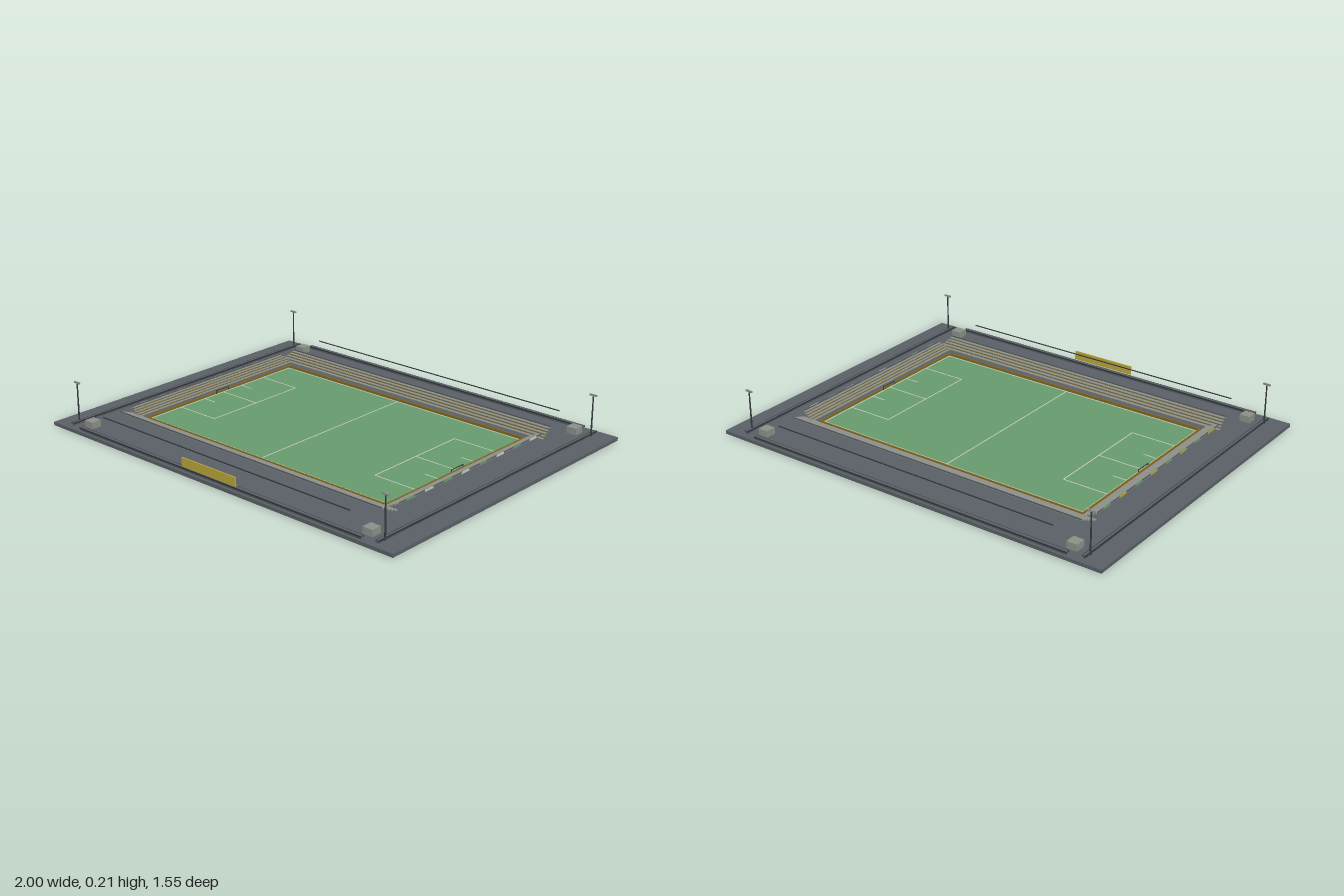
import * as THREE from 'three';

const mat = (name, color) => {
  const m = new THREE.MeshStandardMaterial({ color });
  m.name = name;
  return m;
};

export function createModel() {
  const slate = mat('slate ground', 0x5a6066);
  const dark = mat('dark steel', 0x34383c);
  const concrete = mat('pale concrete', 0x8c9088);
  const green = mat('pitch green', 0x679b6d);
  const white = mat('line white', 0xc4cabf);
  const gold = mat('sign gold', 0xb9a63a);
  const amber = mat('board amber', 0x85691f);

  const model = new THREE.Group();
  model.name = 'stadium';

  const group = (name) => {
    const g = new THREE.Group();
    g.name = name;
    model.add(g);
    return g;
  };

  // Box given by its centre in x and z, and its bottom and top heights
  const box = (parent, name, material, x, z, w, d, y0, y1) => {
    const m = new THREE.Mesh(new THREE.BoxGeometry(w, y1 - y0, d), material);
    m.name = name;
    m.position.set(x, (y0 + y1) / 2, z);
    parent.add(m);
    return m;
  };

  // Four strips around a rectangle with half sizes hx, hz
  const ring = (parent, name, material, hx, hz, t, y0, y1) => {
    for (const s of [-1, 1]) {
      box(parent, name, material, 0, s * hz, 2 * hx + t, t, y0, y1);
      box(parent, name, material, s * hx, 0, t, 2 * hz - t, y0, y1);
    }
  };

  // Ground slab and playing field
  box(model, 'groundSlab', slate, 0, 0, 2, 1.55, 0, 0.016);
  box(model, 'pitch', green, 0, 0, 1.41, 0.92, 0.016, 0.02);

  // Painted pitch lines
  const lines = group('pitchLines');
  const L = 0.005, ly0 = 0.019, ly1 = 0.021;
  ring(lines, 'touchLine', white, 0.698, 0.453, L, ly0, ly1);
  box(lines, 'halfwayLine', white, 0, 0, L, 0.9, ly0, ly1);
  for (const s of [-1, 1]) {
    box(lines, 'areaFront', white, s * 0.48, 0, L, 0.54, ly0, ly1);
    box(lines, 'areaCentre', white, s * 0.59, 0, 0.22, L, ly0, ly1);
    for (const t of [-1, 1]) {
      box(lines, 'areaSide', white, s * 0.59, t * 0.27, 0.22, L, ly0, ly1);
      box(lines, 'goalAreaSide', white, s * 0.665, t * 0.122, 0.07, L, ly0, ly1);
    }
  }

  // Low boards around the pitch
  const boards = group('perimeterBoards');
  ring(boards, 'board', amber, 0.709, 0.469, 0.006, 0.016, 0.029);

  // Small goals behind the end lines
  const goals = group('goals');
  for (const s of [-1, 1]) {
    box(goals, 'crossbar', dark, s * 0.704, 0, 0.003, 0.08, 0.034, 0.037);
    for (const t of [-1, 1]) box(goals, 'post', dark, s * 0.704, t * 0.039, 0.003, 0.003, 0.018, 0.037);
  }

  // Stepped stands, each built as thin treads and risers rising outward along +z
  const stand = (name, half, taper, inner, depth, y0, y1, rows) => {
    const g = group(name);
    const step = depth / rows, rise = (y1 - y0) / rows;
    for (let i = 0; i < rows; i++) {
      const w = 2 * (half - (taper * (i + 0.5)) / rows);
      const z = inner + i * step, y = y0 + i * rise;
      box(g, 'tread', concrete, 0, z + step / 2, w, step, y - 0.0025, y);
      if (i > 0) {
        box(g, 'riser', slate, 0, z + 0.001, w, 0.002, y - rise, y - 0.0025);
        box(g, 'seatRow', amber, 0, z - 0.0005, w, 0.001, y - rise, y - rise * 0.6);
      }
    }
    box(g, 'backRail', slate, 0, inner + depth - 0.001, w0(half, taper), 0.002, y1 - rise, y1);
    return g;
  };
  const w0 = (half, taper) => 2 * (half - taper);

  stand('frontStand', 0.792, 0.017, 0.492, 0.084, 0.036, 0.07, 5);
  stand('backStand', 0.792, 0.017, 0.492, 0.084, 0.036, 0.07, 5).rotation.y = Math.PI;
  const leftStand = stand('leftStand', 0.508, 0.02, 0.725, 0.066, 0.035, 0.066, 5);
  const rightStand = stand('rightStand', 0.508, 0.02, 0.725, 0.066, 0.035, 0.066, 5);
  leftStand.rotation.y = Math.PI / 2;
  rightStand.rotation.y = -Math.PI / 2;

  // Short coloured panels along the end rails
  for (let i = 0; i < 8; i++) {
    const p = -0.42 + i * 0.12;
    box(leftStand, 'railPanel', i % 2 ? white : green, p, 0.792, 0.05, 0.003, 0.057, 0.066);
    box(rightStand, 'railPanel', i % 2 ? gold : green, p, 0.792, 0.05, 0.003, 0.057, 0.066);
  }

  // Outer walls with dark edge rails
  const walls = group('outerWalls');
  for (const s of [-1, 1]) {
    box(walls, 'longWall', slate, 0, s * 0.756, 1.66, 0.014, 0.016, 0.031);
    box(walls, 'endWall', slate, s * 0.9, 0, 0.01, 1.49, 0.016, 0.031);
    for (const t of [-1, 1]) {
      box(walls, 'longRail', dark, 0, s * 0.756 + t * 0.008, 1.665, 0.003, 0.024, 0.031);
      box(walls, 'endRail', dark, s * 0.9 + t * 0.0065, 0, 0.003, 1.495, 0.024, 0.031);
    }
  }

  // Front sign
  box(model, 'frontSign', gold, 0, 0.765, 0.318, 0.006, 0.036, 0.078);

  // Overhead cables, corner blocks and floodlight masts
  const corners = group('cornerFittings');
  for (const t of [-1, 1]) {
    box(model, 'overheadCable', dark, 0, t * 0.71, 1.46, 0.004, 0.088, 0.092);
    for (const s of [-1, 1]) {
      box(corners, 'cornerBlock', concrete, s * 0.825, t * 0.693, 0.05, 0.05, 0.016, 0.047);
      const mast = new THREE.Mesh(new THREE.CylinderGeometry(0.003, 0.004, 0.194, 8), dark);
      mast.name = 'mast';
      mast.position.set(s * 0.904, 0.113, t * 0.706);
      corners.add(mast);
      box(corners, 'lampBar', concrete, s * 0.904, t * 0.706, 0.036, 0.007, 0.206, 0.214);
    }
  }
  return model;
}
